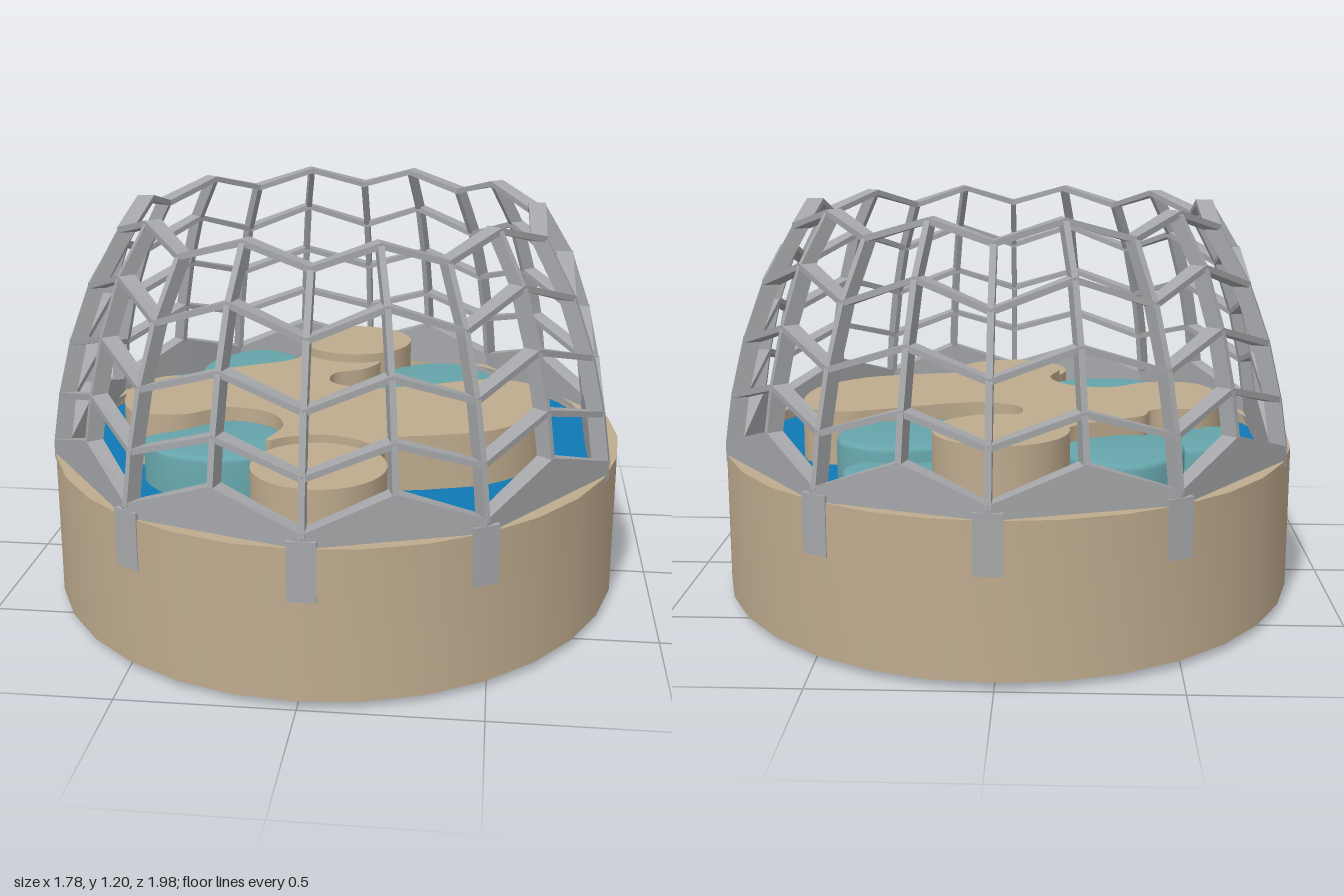
import * as THREE from 'three';
import { toCreasedNormals } from 'three/addons/utils/BufferGeometryUtils.js';

const mat = (color, flatShading = false) =>
  new THREE.MeshStandardMaterial({ color, flatShading, side: THREE.DoubleSide });
const SAND = mat(0xbfab8e), STEEL = mat(0xa5a7aa, true), TEAL = mat(0x66a5ab), WATER = mat(0x0f78b4);

function add(parent, name, geometry, material) {
  const mesh = new THREE.Mesh(geometry, material);
  mesh.name = name;
  parent.add(mesh);
  return mesh;
}

// Joins a row of four-cornered cross-sections into a bar.
function loft(sections, closed) {
  const pos = [], index = [], n = sections.length;
  sections.forEach(s => s.forEach(p => pos.push(p.x, p.y, p.z)));
  for (let i = 0; i < (closed ? n : n - 1); i++) {
    const a = i * 4, b = ((i + 1) % n) * 4;
    for (let j = 0; j < 4; j++) {
      const k = (j + 1) % 4;
      index.push(a + j, b + j, b + k, a + j, b + k, a + k);
    }
  }
  const g = new THREE.BufferGeometry();
  g.setAttribute('position', new THREE.Float32BufferAttribute(pos, 3));
  g.setIndex(index);
  const flat = g.toNonIndexed();
  flat.computeVertexNormals();
  return flat;
}

// Smooth closed outline from [x, z] points, in the shape plane (y = -z).
function smooth(outline) {
  const curve = new THREE.CatmullRomCurve3(
    outline.map(([x, z]) => new THREE.Vector3(x, -z, 0)), true);
  return curve.getPoints(outline.length * 5).map(p => new THREE.Vector2(p.x, p.y));
}

// An outline raised from y0 to y1 as a shell that is open below.
function blob(outline, y0, y1, bevel = 0) {
  const solid = new THREE.ExtrudeGeometry(new THREE.Shape(smooth(outline)), {
    depth: y1 - y0, bevelEnabled: bevel > 0, bevelThickness: bevel,
    bevelSize: bevel, bevelOffset: -bevel, bevelSegments: 3,
  });
  solid.rotateX(-Math.PI / 2).translate(0, y0 - bevel, 0);
  const p = solid.getAttribute('position').array, kept = [];
  const floor = y0 - bevel + 0.001;
  for (let i = 0; i < p.length; i += 9) {
    if (Math.max(p[i + 1], p[i + 4], p[i + 7]) > floor) kept.push(...p.slice(i, i + 9));
  }
  const g = new THREE.BufferGeometry();
  g.setAttribute('position', new THREE.Float32BufferAttribute(kept, 3));
  return toCreasedNormals(g, 0.7);
}

// A turned shell from [radius, y] points.
const turned = points => toCreasedNormals(
  new THREE.LatheGeometry(points.map(p => new THREE.Vector2(...p)), 32), 0.7);

// Ten corners with a midpoint on every side, running from +z towards +x.
const side = [[0.49, 0.83], [0.84, 0.34]];
const back = [...side].reverse();
const corners = [
  [0.015, 0.99], ...side, ...back.map(([x, z]) => [x, -z]),
  [0.015, -0.99], ...side.map(([x, z]) => [-x, -z]), ...back.map(([x, z]) => [-x, z]),
];
const plan = corners.flatMap((c, i) => {
  const d = corners[(i + 1) % corners.length];
  return [c, [(c[0] + d[0]) / 2, (c[1] + d[1]) / 2]];
});

// Cage levels: scale of the plan, corner height, midpoint height.
const levels = [
  [1, 0.49, 0.58], [0.975, 0.64, 0.715], [0.93, 0.805, 0.88],
  [0.86, 0.975, 1.05], [0.755, 1.14, 1.195],
];
const DEPTH = 0.052;

// Point of the cage; inset moves it towards the middle, along moves it round the ring.
function cagePoint(i, scale, y, inset = 0, along = 0) {
  const n = plan.length, [x, z] = plan[i];
  const [px, pz] = plan[(i + n - 1) % n], [qx, qz] = plan[(i + 1) % n];
  const t = new THREE.Vector2(qx - px, qz - pz).normalize();
  const k = scale - inset / Math.hypot(x, z);
  return new THREE.Vector3(x * k + t.x * along, y, z * k + t.y * along);
}

function ring(scale, bottom, top) {
  return loft(plan.map((_, i) => [
    cagePoint(i, scale, bottom(i)), cagePoint(i, scale, top(i)),
    cagePoint(i, scale, top(i), DEPTH), cagePoint(i, scale, bottom(i), DEPTH),
  ]), true);
}

function buildCage() {
  const cage = new THREE.Group();
  cage.name = 'cage';
  const height = (level, i) => level[1 + (i % 2)];
  // zigzag band that sits on the wall
  add(cage, 'baseBand', ring(1, () => 0.44, i => height(levels[0], i) + 0.01), STEEL);
  // zigzag hoops
  levels.slice(1).forEach(l => add(cage, 'hoop',
    ring(l[0], i => height(l, i) - 0.009, i => height(l, i) + 0.009), STEEL));
  // upright ribs
  plan.forEach((_, i) => add(cage, 'rib', loft(levels.map(l => {
    const y = height(l, i), w = 0.009;
    return [
      cagePoint(i, l[0], y, 0, w), cagePoint(i, l[0], y, 0, -w),
      cagePoint(i, l[0], y, DEPTH, -w), cagePoint(i, l[0], y, DEPTH, w),
    ];
  }), false), STEEL));
  // tabs that clip over the front and back of the wall
  corners.forEach(([x, z], i) => {
    if (Math.abs(z) < 0.5) return;
    const tab = add(cage, 'tab', new THREE.BoxGeometry(0.08, 0.17, DEPTH), STEEL);
    tab.position.copy(cagePoint(i * 2, 1, 0.395, DEPTH / 2));
    tab.rotation.y = Math.atan2(x, z);
  });
  return cage;
}

export function createModel() {
  const model = new THREE.Group();
  model.name = 'domedPool';

  // oval wall with a flat rim, open below
  add(model, 'wall', turned([[0.99, 0.02], [0.99, 0.46], [0.91, 0.46]]).scale(0.9, 1, 1), SAND);

  // large island with bays
  const island = [
    [0.17, 0.48], [0.19, 0.41], [0.32, 0.37], [0.5, 0.3], [0.64, 0.12], [0.62, -0.18],
    [0.5, -0.23], [0.4, -0.2], [0.25, -0.13], [0.08, -0.08], [-0.04, -0.14],
    [-0.04, -0.24], [0.06, -0.31], [0.1, -0.42], [0, -0.5], [-0.15, -0.47],
    [-0.22, -0.38], [-0.33, -0.31], [-0.42, -0.25], [-0.45, -0.17], [-0.6, -0.14],
    [-0.68, 0], [-0.62, 0.24], [-0.46, 0.26], [-0.33, 0.17], [-0.19, 0.21],
    [-0.13, 0.33], [-0.16, 0.47], [-0.1, 0.43], [0, 0.4], [0.1, 0.43],
  ];
  add(model, 'island', blob(island, 0.38, 0.57), SAND);

  // water around the island, lying on a thin floor
  const pool = new THREE.Shape();
  pool.absellipse(0, 0, 0.87, 0.97, 0, Math.PI * 2);
  pool.holes.push(new THREE.Path(smooth(island)));
  const surface = new THREE.ShapeGeometry(pool, 16).rotateX(-Math.PI / 2);
  add(model, 'water', surface, WATER).position.y = 0.4;
  add(model, 'poolFloor', surface, SAND).position.y = 0.385;

  // round terraces on long hollow pillars: x, z, top, bottom
  [[0, -0.57, 0.6, 0.01], [0.01, 0.59, 0.545, 0.02]].forEach(([x, z, top, bottom]) => {
    const g = turned([[0.195, bottom], [0.195, top], [0, top]]);
    add(model, 'terrace', g, SAND).position.set(x, 0, z);
  });

  // teal ledges with rounded rims
  const ledges = [
    [[[0.07, -0.3], [0.13, -0.46], [0.22, -0.51], [0.36, -0.52], [0.47, -0.45], [0.5, -0.33],
      [0.46, -0.22], [0.36, -0.15], [0.22, -0.13], [0.1, -0.2]], 0.545],
    [[[-0.05, -0.2], [0.08, -0.32], [0.22, -0.26], [0.24, -0.13], [0.06, -0.07]], 0.525],
    [[[0.14, -0.55], [0.2, -0.68], [0.38, -0.7], [0.45, -0.58], [0.38, -0.48], [0.22, -0.48]], 0.5],
    [[[-0.19, -0.4], [-0.2, -0.58], [-0.36, -0.68], [-0.5, -0.55], [-0.52, -0.38],
      [-0.4, -0.3], [-0.3, -0.32]], 0.54],
    [[[-0.41, -0.2], [-0.45, -0.36], [-0.6, -0.4], [-0.72, -0.25], [-0.68, -0.1], [-0.55, -0.12]], 0.52],
    [[[-0.32, 0.17], [-0.18, 0.22], [-0.12, 0.36], [-0.17, 0.48], [-0.3, 0.53],
      [-0.45, 0.5], [-0.55, 0.36], [-0.46, 0.28]], 0.545],
  ];
  const RIM = 0.015;
  ledges.forEach(([outline, top]) =>
    add(model, 'ledge', blob(outline, 0.32, top - RIM, RIM), TEAL));

  // hollow pillars under the ledges: x, z, bottom
  [[-0.475, -0.2, 0], [0.06, -0.18, 0], [0.2, -0.55, 0], [-0.3, -0.53, 0], [-0.31, 0.34, 0.02]]
    .forEach(([x, z, bottom]) => {
      add(model, 'pillar', turned([[0.185, bottom], [0.185, 0.42]]), SAND).position.set(x, 0, z);
    });

  model.add(buildCage());
  return model;
}
